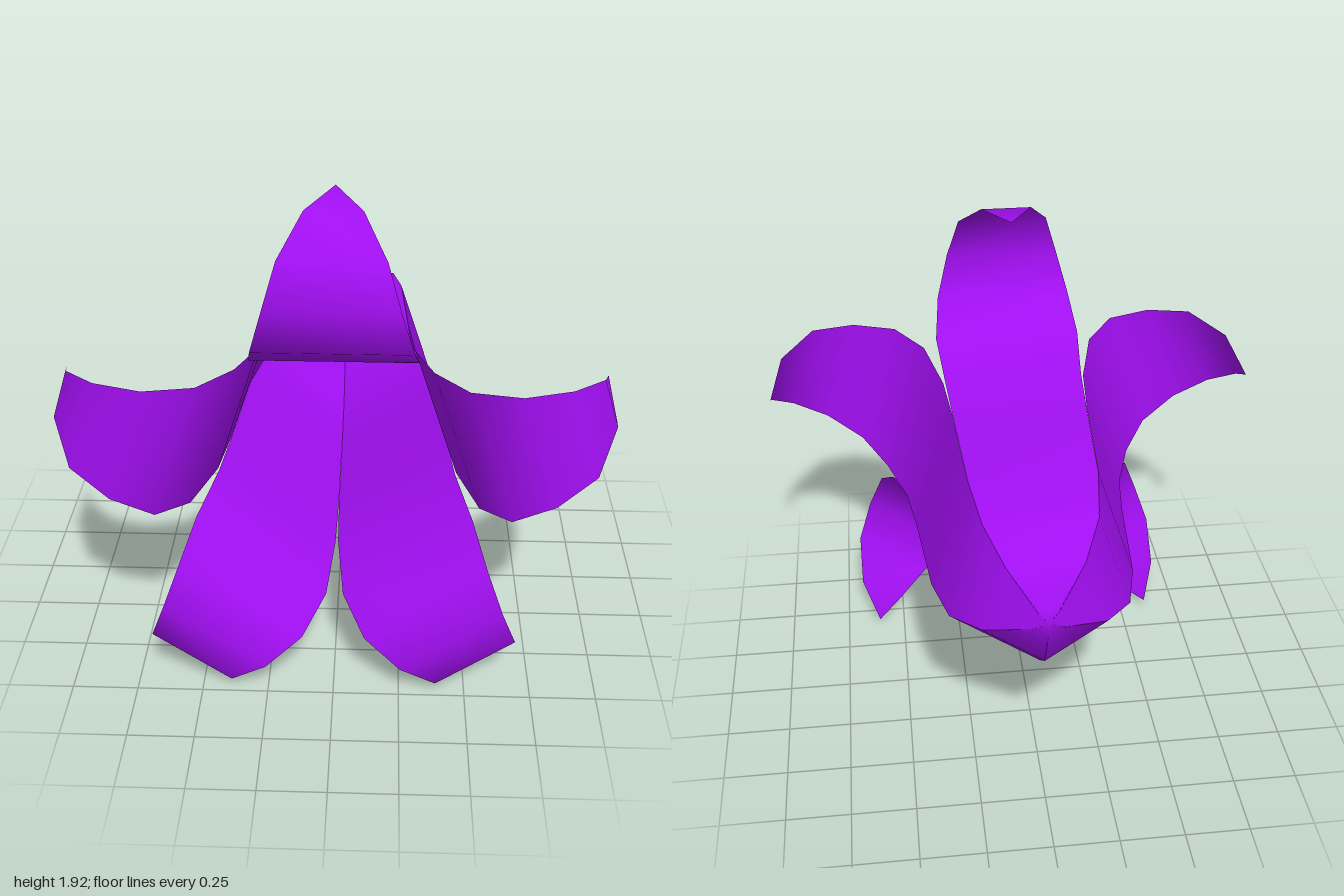
import * as THREE from 'three';

// Petal sections from the closed base to the curled tip: [radius, z, half width]
const SECTIONS = [
  [0, -0.776, 0],
  [0.05, -0.773, 0.036],
  [0.194, -0.69, 0.141],
  [0.287, -0.55, 0.209],
  [0.332, -0.33, 0.241],
  [0.364, 0.1, 0.264],
  [0.39, 0.33, 0.277],
  [0.462, 0.57, 0.296],
  [0.577, 0.73, 0.275],
  [0.745, 0.775, 0.229],
  [0.909, 0.73, 0.18],
  [1.018, 0.57, 0.099],
  [1.034, 0.375, 0],
];
const PETALS = 5;
const CENTRE_Y = 0.886;

// A flat strip bent along the petal profile, front face outward
function petalGeometry() {
  const geometry = new THREE.PlaneGeometry(2, 1, 1, SECTIONS.length - 1);
  const pos = geometry.attributes.position;
  for (let i = 0; i < pos.count; i++) {
    const [radius, z, halfWidth] = SECTIONS[Math.floor(i / 2)];
    pos.setXYZ(i, pos.getX(i) * halfWidth, radius, z);
  }
  geometry.computeVertexNormals();
  return geometry;
}

export function createModel() {
  const flower = new THREE.Group();
  flower.name = 'bellFlower';
  const material = new THREE.MeshStandardMaterial({ color: 0xa00ff0, side: THREE.DoubleSide });
  const geometry = petalGeometry();

  // Five petals around the z axis, touching along the bell
  for (let i = 0; i < PETALS; i++) {
    const petal = new THREE.Mesh(geometry, material);
    petal.name = `petal${i + 1}`;
    petal.position.y = CENTRE_Y;
    petal.rotation.z = (i * 2 * Math.PI) / PETALS;
    flower.add(petal);
  }
  return flower;
}
